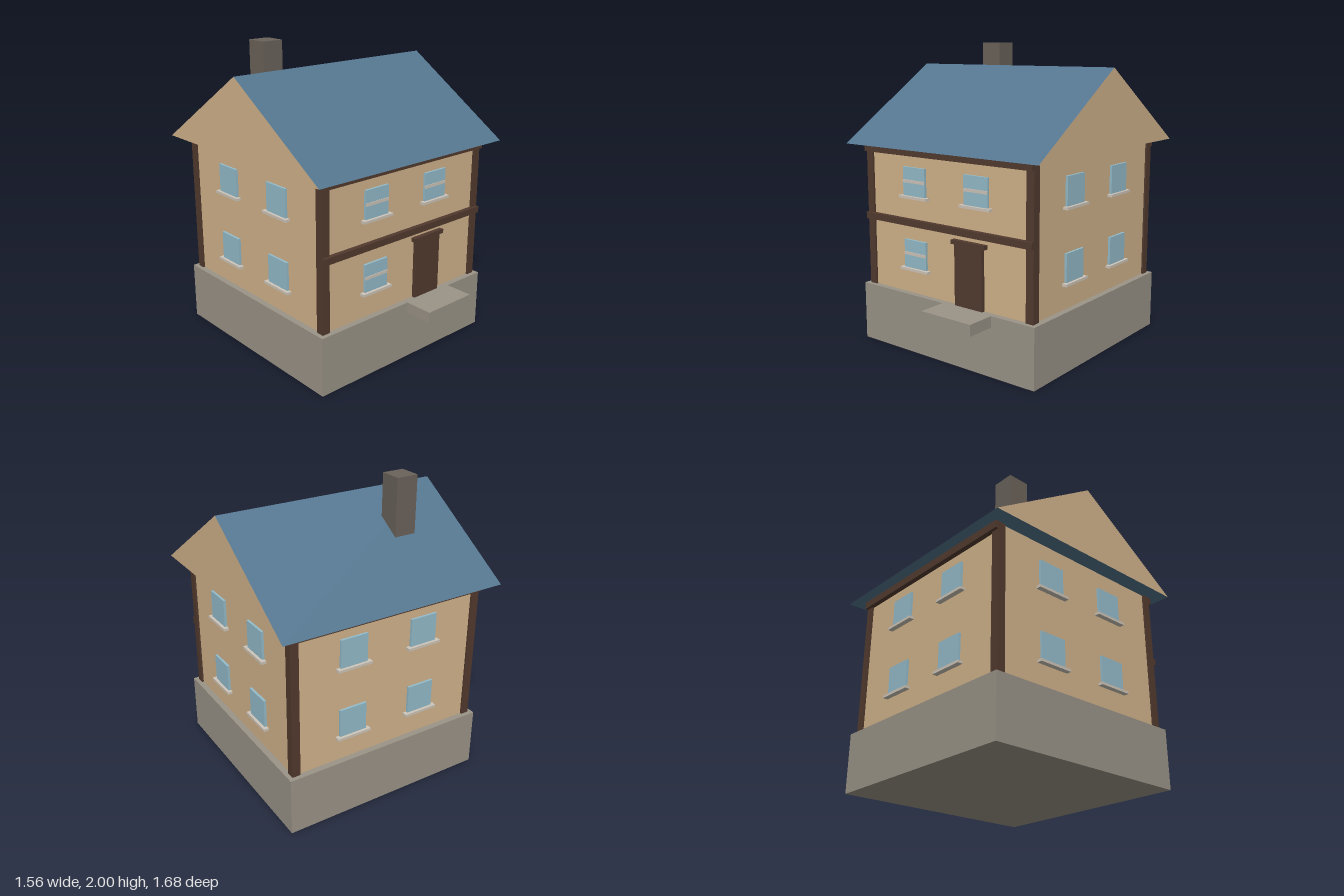
import * as THREE from 'three';

const mat = (name, color) => {
  const m = new THREE.MeshStandardMaterial({ color });
  m.name = name;
  return m;
};

export function createModel() {
  const plaster = mat('tan plaster', 0xd2b48c);
  const stone = mat('grey stone', 0x9b9488);
  const wood = mat('dark timber', 0x523a2e);
  const slate = mat('blue roof', 0x54768f);
  const glass = mat('window glass', 0x94bccb);
  const brick = mat('chimney grey', 0x6b635b);
  const trim = mat('pale trim', 0xcfc6ba);

  const model = new THREE.Group();
  model.name = 'house';

  // The body is centred on its own axis, slightly behind the origin
  const body = new THREE.Group();
  body.name = 'houseBody';
  body.position.z = -0.06;
  model.add(body);

  // Box given by its lower and upper limits on each axis
  function box(parent, name, material, [x0, x1], [y0, y1], [z0, z1]) {
    const mesh = new THREE.Mesh(new THREE.BoxGeometry(x1 - x0, y1 - y0, z1 - z0), material);
    mesh.position.set((x0 + x1) / 2, (y0 + y1) / 2, (z0 + z1) / 2);
    mesh.name = name;
    parent.add(mesh);
    return mesh;
  }

  const WALL = 0.672, POST = 0.685, EAVE = 1.345, BASE = 0.39;

  // Foundation, front step and walls
  box(body, 'foundation', stone, [-0.713, 0.713], [0, BASE], [-0.713, 0.713]);
  box(body, 'frontStep', stone, [0.003, 0.393], [0.318, BASE + 0.001], [0.7, 0.905]);
  box(body, 'walls', plaster, [-WALL, WALL], [BASE, EAVE], [-WALL, WALL]);

  // Corner posts
  for (const sx of [-1, 1]) {
    for (const sz of [-1, 1]) {
      const post = box(body, 'cornerPost', wood, [-0.0275, 0.0275], [BASE, EAVE], [-0.0275, 0.0275]);
      post.position.x = sx * (POST - 0.0275);
      post.position.z = sz * (POST - 0.0275);
    }
  }

  // Eave beams front and back, floor beam on the front only
  box(body, 'frontEaveBeam', wood, [-POST, POST], [1.295, EAVE], [0.66, 0.705]);
  box(body, 'backEaveBeam', wood, [-POST, POST], [1.295, EAVE], [-0.705, -0.66]);
  box(body, 'floorBeam', wood, [-POST, POST], [0.842, 0.885], [0.66, 0.705]);

  // Door with lintel
  box(body, 'door', wood, [0.088, 0.308], [BASE, 0.785], [0.66, 0.695]);
  box(body, 'doorLintel', wood, [0.068, 0.334], [0.783, 0.81], [0.66, 0.704]);

  // One window on the +z wall: pane, sill and optional glazing bar
  function addWindow(wall, x, sillY, withBar) {
    const win = new THREE.Group();
    win.name = 'window';
    win.position.set(x, sillY, WALL);
    box(win, 'windowPane', glass, [-0.094, 0.094], [0.012, 0.202], [-0.005, 0.016]);
    box(win, 'windowSill', trim, [-0.119, 0.119], [0, 0.017], [-0.005, 0.034]);
    if (withBar) box(win, 'glazingBar', trim, [-0.094, 0.094], [0.101, 0.121], [0.012, 0.02]);
    wall.add(win);
  }

  // Four walls of windows; the door takes one place on the front
  ['front', 'left', 'back', 'right'].forEach((side, i) => {
    const wall = new THREE.Group();
    wall.name = side + 'Windows';
    wall.rotation.y = i * Math.PI / 2;
    for (const x of [-0.255, 0.255]) {
      for (const y of [0.545, 1.02]) {
        if (i === 0 && x > 0 && y < 1) continue;
        addWindow(wall, x, y, i === 0);
      }
    }
    body.add(wall);
  });

  // Gabled roof: plaster ends, blue slopes and underside
  const gable = new THREE.Shape();
  gable.moveTo(-0.777, EAVE);
  gable.lineTo(0.777, EAVE);
  gable.lineTo(0, 1.85);
  gable.closePath();
  const roofGeo = new THREE.ExtrudeGeometry(gable, { depth: 1.56, bevelEnabled: false });
  roofGeo.translate(0, 0, -0.78).rotateY(Math.PI / 2);
  const roof = new THREE.Mesh(roofGeo, [plaster, slate]);
  roof.name = 'roof';
  body.add(roof);

  // Chimney rising from the rear slope
  box(body, 'chimney', brick, [-0.415, -0.265], [1.5, 2], [-0.35, -0.2]);

  return model;
}
